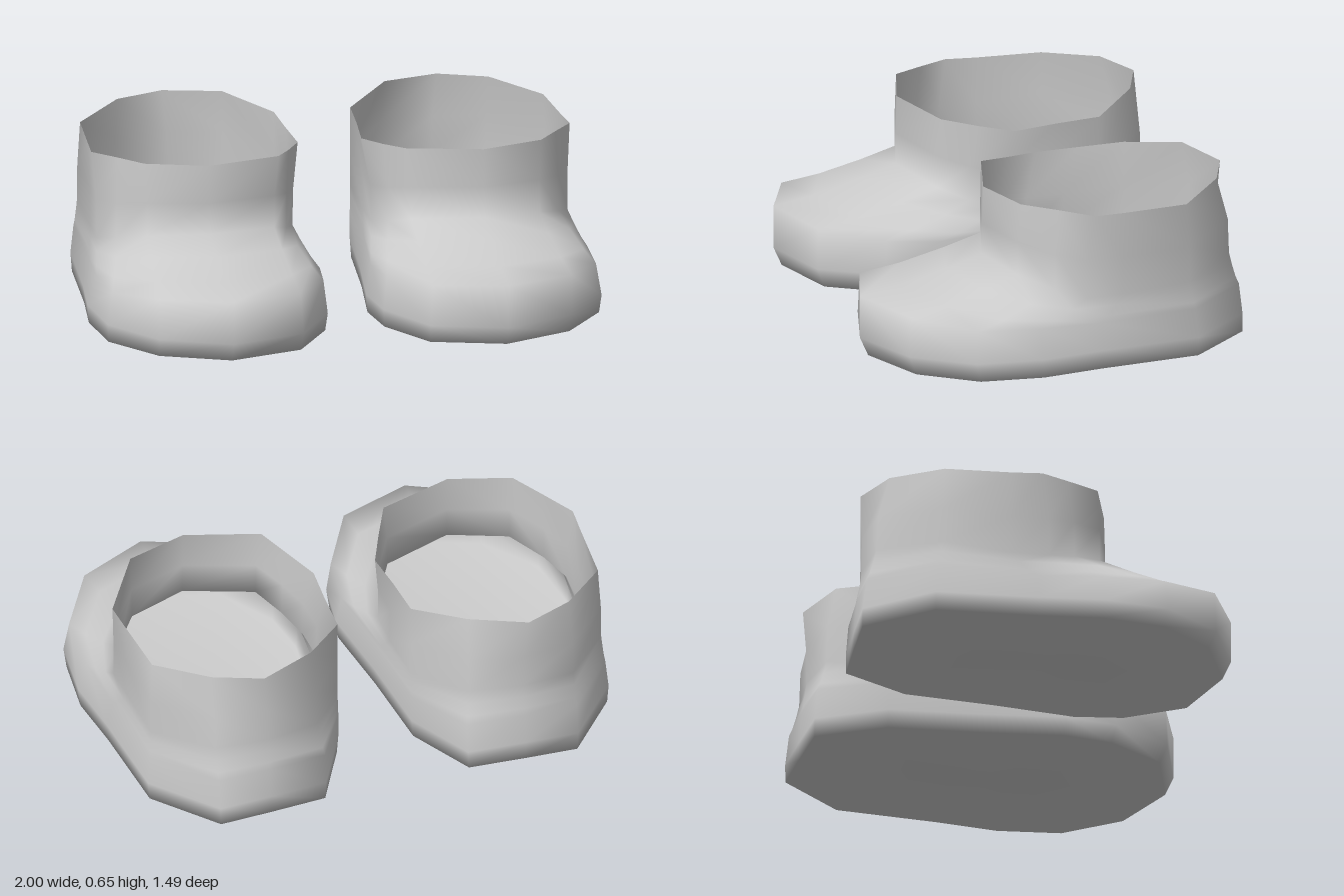
import * as THREE from 'three';

// Plan outlines [x, z] of the left boot, from the heel round the outer side to the toe and back.
const SOLE = [[.52, -.735], [.73, -.745], [.94, -.5], [.97, -.1], [1, .15], [.97, .41], [.81, .63],
  [.54, .745], [.25, .66], [.11, .43], [.08, .23], [.12, -.1], [.15, -.46], [.29, -.72]];
const RIM = [[.52, -.725], [.73, -.73], [.93, -.49], [.945, -.1], [.965, .15], [.95, .4], [.81, .625],
  [.54, .745], [.26, .655], [.125, .42], [.1, .22], [.135, -.1], [.15, -.46], [.29, -.71]];
const ANKLE = [[.52, -.705], [.73, -.69], [.92, -.47], [.92, -.2], [.925, -.05], [.87, .06], [.77, .18],
  [.54, .25], [.27, .17], [.2, .06], [.155, -.05], [.15, -.2], [.15, -.45], [.31, -.67]];
const COLLAR = [[.54, -.715], [.73, -.64], [.91, -.46], [.93, -.2], [.94, -.08], [.86, .045], [.78, .17],
  [.54, .245], [.25, .16], [.185, .03], [.125, -.1], [.14, -.27], [.15, -.45], [.32, -.63]];

// Heights of the rings that are not level, column by column.
const RIM_Y = [.2, .2, .19, .18, .19, .2, .235, .245, .235, .205, .19, .18, .19, .2];
const ANKLE_Y = [.33, .33, .3, .28, .28, .31, .35, .365, .35, .31, .28, .28, .3, .33];
const COLLAR_Y = [.64, .64, .615, .615, .618, .63, .64, .64, .635, .615, .6, .607, .612, .65];

const N = SOLE.length;
const lerp = THREE.MathUtils.lerp;

// A ring between two plans; y is a function of the column.
const ring = (a, b, t, y) =>
  a.map((p, j) => [lerp(p[0], b[j][0], t), y(j), lerp(p[1], b[j][1], t)]);

// Slightly hollow slope from the toe rim up to the ankle.
const instep = t => ring(RIM, ANKLE, t, j => lerp(RIM_Y[j], ANKLE_Y[j], t ** 1.35));

function bootGeometry(side) {
  const tucked = SOLE.map(([x, z]) => [.535 + (x - .535) * .985, z > 0 ? z * .955 : z]);
  const rings = [
    ring(tucked, SOLE, 0, () => 0),
    ring(SOLE, SOLE, 0, () => .075),
    instep(0), instep(.33), instep(.7), instep(1),
    ring(ANKLE, COLLAR, .1, j => lerp(ANKLE_Y[j], COLLAR_Y[j], .45)),
    ring(COLLAR, COLLAR, 0, j => COLLAR_Y[j]),
  ];
  const positions = rings.flat().flatMap(([x, y, z]) => [x * side, y, z]);
  const index = [];
  const tri = (a, b, c) => index.push(...(side > 0 ? [a, b, c] : [a, c, b]));

  // Walls
  for (let i = 0; i < rings.length - 1; i++) {
    for (let j = 0; j < N; j++) {
      const k = (j + 1) % N;
      const a = i * N + j, b = i * N + k, c = a + N, d = b + N;
      tri(a, c, d);
      tri(a, d, b);
    }
  }
  // Closed sole, sharing the bottom ring so its edge shades softly
  const centre = positions.length / 3;
  positions.push(.535 * side, 0, -.02);
  for (let j = 0; j < N; j++) tri(centre, j, (j + 1) % N);

  const geometry = new THREE.BufferGeometry();
  geometry.setAttribute('position', new THREE.Float32BufferAttribute(positions, 3));
  geometry.setIndex(index);
  geometry.computeVertexNormals();
  return geometry;
}

export function createModel() {
  const model = new THREE.Group();
  model.name = 'boots';
  const material = new THREE.MeshStandardMaterial({ color: 0xcccccc, side: THREE.DoubleSide });
  for (const [name, side] of [['leftBoot', 1], ['rightBoot', -1]]) {
    const boot = new THREE.Mesh(bootGeometry(side), material);
    boot.name = name;
    model.add(boot);
  }
  return model;
}
